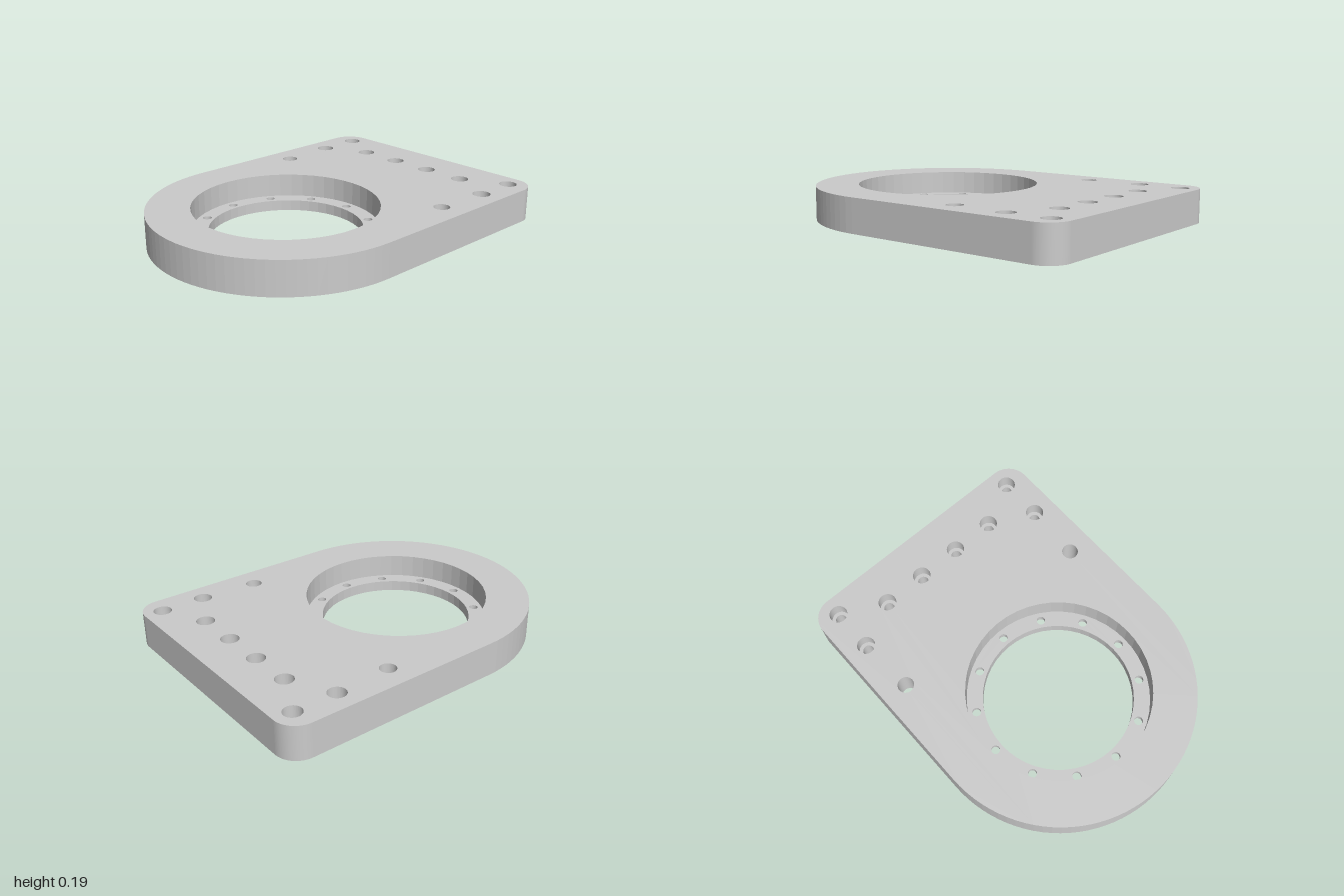
import * as THREE from 'three';
import { mergeGeometries } from 'three/addons/utils/BufferGeometryUtils.js';

const DIV = 24;            // curve divisions
const H = 0.19;            // plate thickness
const CX = -0.25;          // bore centre
const LEDGE = 0.06;        // height of the ledge inside the bore
const BORE = 0.42, RECESS = 0.51;

const circle = (x, y, r) => new THREE.Shape().absarc(x, y, r, 0, Math.PI * 2, false);

// Flat face at height y, with holes
function face(outline, holes, y) {
  const s = outline.clone();
  s.holes = holes;
  return new THREE.ShapeGeometry(s, DIV).rotateX(-Math.PI / 2).translate(0, y, 0).toNonIndexed();
}

// Upright wall following an outline from y0 to y1
function wall(outline, y0, y1) {
  const p = outline.getPoints(DIV);
  const pos = [], uv = [];
  for (let i = 0; i < p.length; i++) {
    const a = p[i], b = p[(i + 1) % p.length];
    if (a.distanceTo(b) < 1e-6) continue;
    pos.push(a.x, y0, -a.y, b.x, y0, -b.y, b.x, y1, -b.y);
    pos.push(a.x, y0, -a.y, b.x, y1, -b.y, a.x, y1, -a.y);
    uv.push(0, 0, 1, 0, 1, 1, 0, 0, 1, 1, 0, 1);
  }
  const g = new THREE.BufferGeometry();
  g.setAttribute('position', new THREE.Float32BufferAttribute(pos, 3));
  g.setAttribute('uv', new THREE.Float32BufferAttribute(uv, 2));
  g.computeVertexNormals();
  return g;
}

// Round-ended plate outline
function plateOutline() {
  const s = new THREE.Shape();
  s.moveTo(CX, -0.75);
  s.lineTo(0.875, -0.75);
  s.absarc(0.875, -0.625, 0.125, -Math.PI / 2, 0, false);
  s.absarc(0.875, 0.625, 0.125, 0, Math.PI / 2, false);
  s.absarc(CX, 0, 0.75, Math.PI / 2, Math.PI * 1.5, false);
  return s;
}

// Curved slot with rounded ends
function grooveOutline() {
  const mid = 0.637, half = 0.0625;
  const a0 = Math.PI / 2 - 0.08, a1 = Math.PI * 1.5 + 0.08;
  const s = new THREE.Shape();
  s.absarc(CX, 0, mid + half, a0, a1, false);
  s.absarc(CX + mid * Math.cos(a1), mid * Math.sin(a1), half, a1, a1 + Math.PI, false);
  s.absarc(CX, 0, mid - half, a1, a0, true);
  s.absarc(CX + mid * Math.cos(a0), mid * Math.sin(a0), half, a0 + Math.PI, a0 + Math.PI * 2, false);
  return s;
}

export function createModel() {
  const group = new THREE.Group();
  group.name = 'mountingPlate';
  const material = new THREE.MeshStandardMaterial({
    color: 0xcccccc, flatShading: true, side: THREE.DoubleSide,
  });
  const add = (name, parts) => {
    const mesh = new THREE.Mesh(mergeGeometries(parts), material);
    mesh.name = name;
    group.add(mesh);
  };

  // Hole positions
  const ringSpots = [], boltSpots = [], pinSpots = [];
  for (let i = 0; i < 12; i++) {
    const a = (i * Math.PI) / 6;
    ringSpots.push([CX + 0.4625 * Math.cos(a), 0.4625 * Math.sin(a)]);
  }
  for (const s of [-1, 1]) {
    for (const [x, y] of [[0.645, 0.625], [0.895, 0.625], [0.77, 0.375], [0.77, 0.125]]) {
      boltSpots.push([x, s * y]);
    }
    pinSpots.push([0.32, s * 0.607]);
  }
  const circles = (spots, r) => spots.map(([x, y]) => circle(x, y, r));

  const outline = plateOutline(), groove = grooveOutline();
  const bore = circle(CX, 0, BORE), recess = circle(CX, 0, RECESS);
  const pins = circles(pinSpots, 0.045);
  const boltNarrow = circles(boltSpots, 0.03), boltWide = circles(boltSpots, 0.05);
  const ringNarrow = circles(ringSpots, 0.024), ringWide = circles(ringSpots, 0.033);

  // Plate skin
  add('plateTop', [face(outline, [recess, ...pins, ...boltWide], H)]);
  add('plateBottom', [face(outline, [bore, groove, ...pins, ...boltNarrow, ...ringWide], 0)]);
  add('plateRim', [wall(outline, 0, H)]);

  // Stepped central bore
  add('bore', [
    wall(bore, 0, LEDGE),
    face(recess, [bore, ...ringNarrow], LEDGE),
    wall(recess, LEDGE, H),
  ]);

  // Curved groove in the underside
  add('undersideGroove', [wall(groove, 0, 0.14), face(groove, [], 0.14)]);

  // Plain through holes
  add('pinHoles', pins.map((c) => wall(c, 0, H)));

  // Bolt holes sunk from above
  add('boltHoles', boltNarrow.flatMap((c, i) => [
    wall(c, 0, 0.11), face(boltWide[i], [c], 0.11), wall(boltWide[i], 0.11, H),
  ]));

  // Ring of ledge holes, wider from below
  add('ledgeHoles', ringNarrow.flatMap((c, i) => [
    wall(ringWide[i], 0, 0.03), face(ringWide[i], [c], 0.03), wall(c, 0.03, LEDGE),
  ]));

  return group;
}
